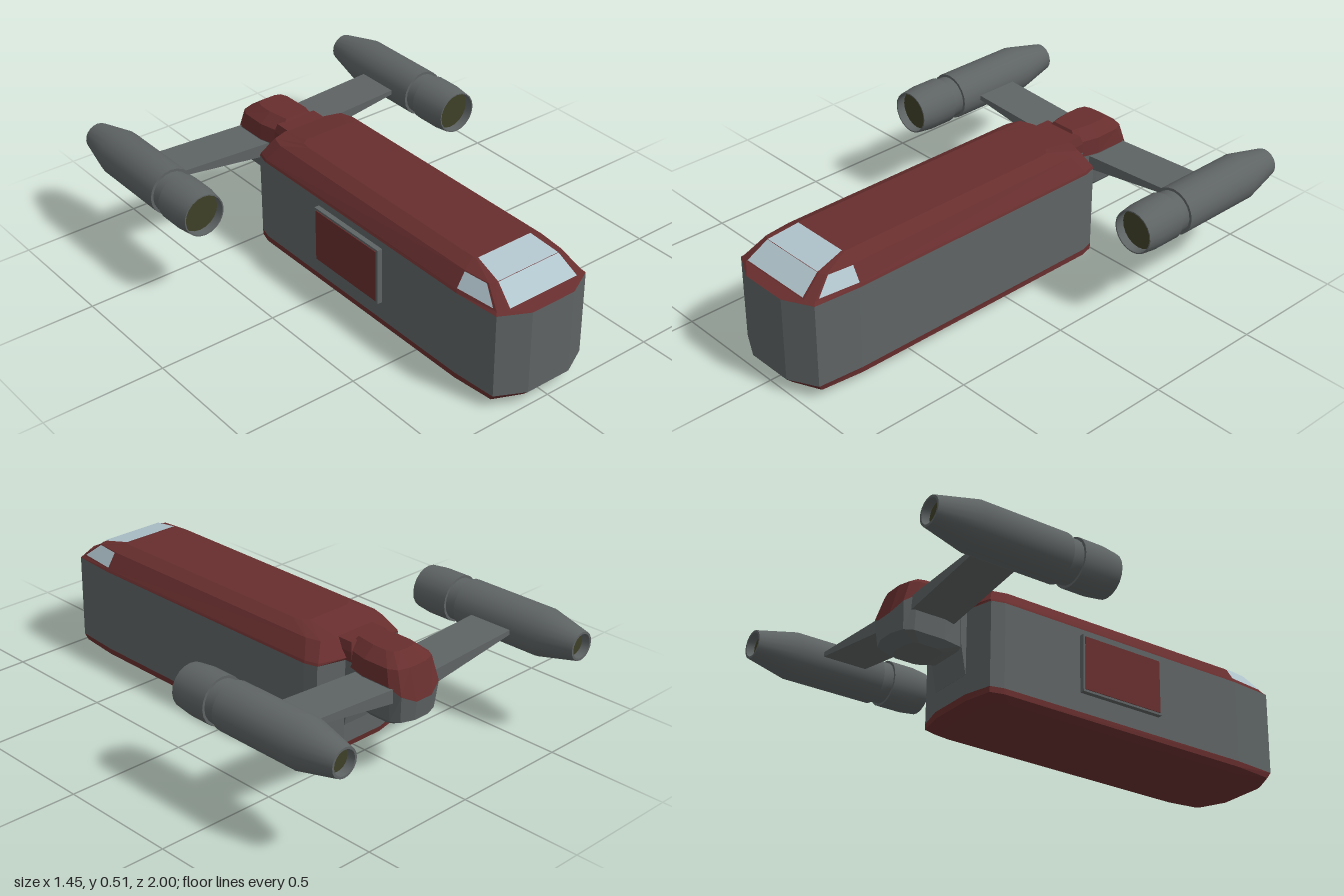
import * as THREE from 'three';
import { toCreasedNormals } from 'three/addons/utils/BufferGeometryUtils.js';

const material = (name, color) => {
  const m = new THREE.MeshStandardMaterial({ color });
  m.name = name;
  return m;
};

// Faceted geometry from a flat list of [x, y, z] triangle corners
function facets(corners) {
  const geo = new THREE.BufferGeometry();
  geo.setAttribute('position', new THREE.Float32BufferAttribute(corners.flat(), 3));
  geo.computeVertexNormals();
  return geo;
}

// Half outline (+x side, front to back) of [x, z] at height y, mirrored to a full ring
const ring = (y, half) => {
  const right = half.map(([x, z, dy = 0]) => [x, y + dy, z]);
  return [...right, ...right.map(([x, h, z]) => [-x, h, z]).reverse()];
};

// Skin rings from bottom to top and cap both ends
function loft(rings) {
  const out = [];
  const n = rings[0].length;
  for (let k = 0; k < rings.length - 1; k++) {
    for (let i = 0; i < n; i++) {
      const j = (i + 1) % n;
      const [a, b, c, d] = [rings[k][i], rings[k][j], rings[k + 1][j], rings[k + 1][i]];
      out.push(a, b, c, a, c, d);
    }
  }
  const bottom = rings[0], top = rings[rings.length - 1];
  // caps are strips between the mirrored halves
  for (let i = 0; i < n / 2 - 1; i++) {
    const m = n - 1 - i;
    out.push(top[i], top[i + 1], top[m - 1], top[i], top[m - 1], top[m]);
    out.push(bottom[i], bottom[m - 1], bottom[i + 1], bottom[i], bottom[m], bottom[m - 1]);
  }
  return facets(out);
}

// Pane laid just above the quad a b c d (counter-clockwise), inset by u and v ranges
function pane([a, b, c, d], [u0, u1], [v0, v1]) {
  const [A, B, C, D] = [a, b, c, d].map((p) => new THREE.Vector3(...p));
  const normal = C.clone().sub(A).cross(D.clone().sub(B)).normalize();
  const at = (u, v) => A.clone().lerp(B, u).lerp(D.clone().lerp(C, u), v)
    .addScaledVector(normal, 0.004).toArray();
  const [p, q, r, s] = [at(u0, v0), at(u1, v0), at(u1, v1), at(u0, v1)];
  return facets([p, q, r, p, r, s]);
}

export function createModel() {
  const group = new THREE.Group();
  const grey = material('hull grey', 0x5e6363);
  const red = material('dark red', 0x682e2e);
  const glass = material('pale glass', 0xb0c4cc);
  const olive = material('engine olive', 0x3e4028);

  const add = (name, geo, mat, parent = group) => {
    const mesh = new THREE.Mesh(geo, mat);
    mesh.name = name;
    parent.add(mesh);
    return mesh;
  };

  // Hull walls
  const plan = [[0.1, 1], [0.215, 0.94], [0.23, 0.75], [0.23, -0.4], [0.215, -0.455], [0.1, -0.485]];
  add('hull', loft([ring(0.06, plan), ring(0.41, plan)]), grey);

  // Bevelled underside
  add('underside', loft([
    ring(0, [[0.1, 0.8], [0.12, 0.77], [0.13, 0.7], [0.13, -0.2], [0.12, -0.27], [0.1, -0.3]]),
    ring(0.016, [[0.1, 0.92], [0.18, 0.87], [0.2, 0.75], [0.2, -0.36], [0.185, -0.41], [0.1, -0.43]]),
    ring(0.036, [[0.1, 0.975], [0.21, 0.925], [0.228, 0.75], [0.23, -0.4], [0.215, -0.455], [0.1, -0.48]]),
    ring(0.06, plan),
  ]), red);

  // Roof and cabin
  const roof = [
    ring(0.41, plan),
    ring(0.42, [[0.168, 0.95], [0.205, 0.93], [0.225, 0.74], [0.226, -0.4], [0.21, -0.455], [0.1, -0.49]]),
    ring(0.484, [[0.15, 0.865], [0.173, 0.85], [0.185, 0.74], [0.182, -0.36], [0.165, -0.42], [0.1, -0.44]]),
    ring(0.51, [[0.13, 0.735], [0.131, 0.73], [0.132, 0.72], [0.13, -0.24], [0.125, -0.28], [0.1, -0.3]]),
  ];
  add('roof', loft(roof), red);

  // Windscreen in two panes and a window on each side
  const quad = (k, i, j) => [roof[k][i], roof[k][j], roof[k + 1][j], roof[k + 1][i]];
  add('lowerWindscreen', pane(quad(1, 11, 0), [0.02, 0.98], [0.04, 1]), glass);
  add('upperWindscreen', pane(quad(2, 11, 0), [0.02, 0.98], [0, 0.97]), glass);
  add('leftWindow', pane(quad(1, 1, 2), [0.06, 0.98], [0.08, 0.96]), glass);
  add('rightWindow', pane(quad(1, 9, 10), [0.02, 0.94], [0.08, 0.96]), glass);

  // Side door on the right: frame with a red panel
  add('doorFrame', new THREE.BoxGeometry(0.03, 0.24, 0.385).translate(-0.236, 0.26, 0.142), grey);
  add('doorPanel', new THREE.BoxGeometry(0.006, 0.222, 0.367).translate(-0.251, 0.26, 0.142), red);

  // Neck joining hull and tail pod
  const neck = (y, z, w = 0.1) => ring(y, [[w, -0.43], [w, z]]);
  add('neck', loft([neck(0.14, -0.486), neck(0.26, -0.508), neck(0.41, -0.515)]), grey);
  add('neckTop', loft([neck(0.41, -0.515), neck(0.45, -0.515), neck(0.485, -0.505, 0.09)]), red);

  // Tail pod: grey belly, red cowl that dips at the back
  const podSeam = ring(0.39, [[0.09, -0.48], [0.1, -0.51], [0.12, -0.59],
    [0.12, -0.72], [0.1, -0.765, -0.03], [0.04, -0.785, -0.06]]);
  add('podBelly', loft([
    ring(0.22, [[0.06, -0.56], [0.07, -0.57], [0.08, -0.6], [0.08, -0.68], [0.07, -0.7], [0.03, -0.715]]),
    ring(0.25, [[0.085, -0.48], [0.095, -0.51], [0.11, -0.59], [0.11, -0.72], [0.09, -0.755], [0.035, -0.775]]),
    podSeam,
  ]), grey);
  add('podCowl', loft([
    podSeam,
    ring(0.455, [[0.085, -0.48], [0.093, -0.51], [0.112, -0.59], [0.11, -0.7], [0.09, -0.735], [0.04, -0.75]]),
    ring(0.497, [[0.05, -0.5], [0.055, -0.53], [0.065, -0.59], [0.065, -0.65], [0.055, -0.68], [0.03, -0.69]]),
  ]), red);

  // Nacelle profile: radius and z, from the rear nozzle to the front intake
  const profile = [[0.046, -0.965], [0.049, -1], [0.058, -1], [0.097, -0.83], [0.097, -0.455],
    [0.086, -0.455], [0.086, -0.405], [0.096, -0.405], [0.096, -0.3], [0.088, -0.235],
    [0.083, -0.235], [0.083, -0.275]].map(([r, z]) => new THREE.Vector2(r, z));
  const shell = toCreasedNormals(new THREE.LatheGeometry(profile, 20).rotateX(Math.PI / 2), 0.4);

  for (const [side, s] of [['left', 1], ['right', -1]]) {
    // Tapered wing
    const wing = new THREE.BoxGeometry(0.48, 1, 0.19).translate(s * 0.32, 0, -0.64);
    const pos = wing.attributes.position;
    for (let i = 0; i < pos.count; i++) {
      const outer = Math.abs(pos.getX(i)) > 0.32;
      const top = pos.getY(i) > 0;
      pos.setY(i, outer ? (top ? 0.41 : 0.393) : (top ? 0.385 : 0.325));
    }
    wing.computeVertexNormals();
    add(side + 'Wing', wing, grey);

    // Engine nacelle
    const engine = new THREE.Group();
    engine.name = side + 'Engine';
    engine.position.set(s * 0.63, 0.402, 0);
    add('nacelle', shell, grey, engine);
    add('intake', new THREE.CircleGeometry(0.083, 20).translate(0, 0, -0.272), olive, engine);
    add('nozzle', new THREE.CircleGeometry(0.047, 20).rotateY(Math.PI).translate(0, 0, -0.968), olive, engine);
    group.add(engine);
  }
  return group;
}
